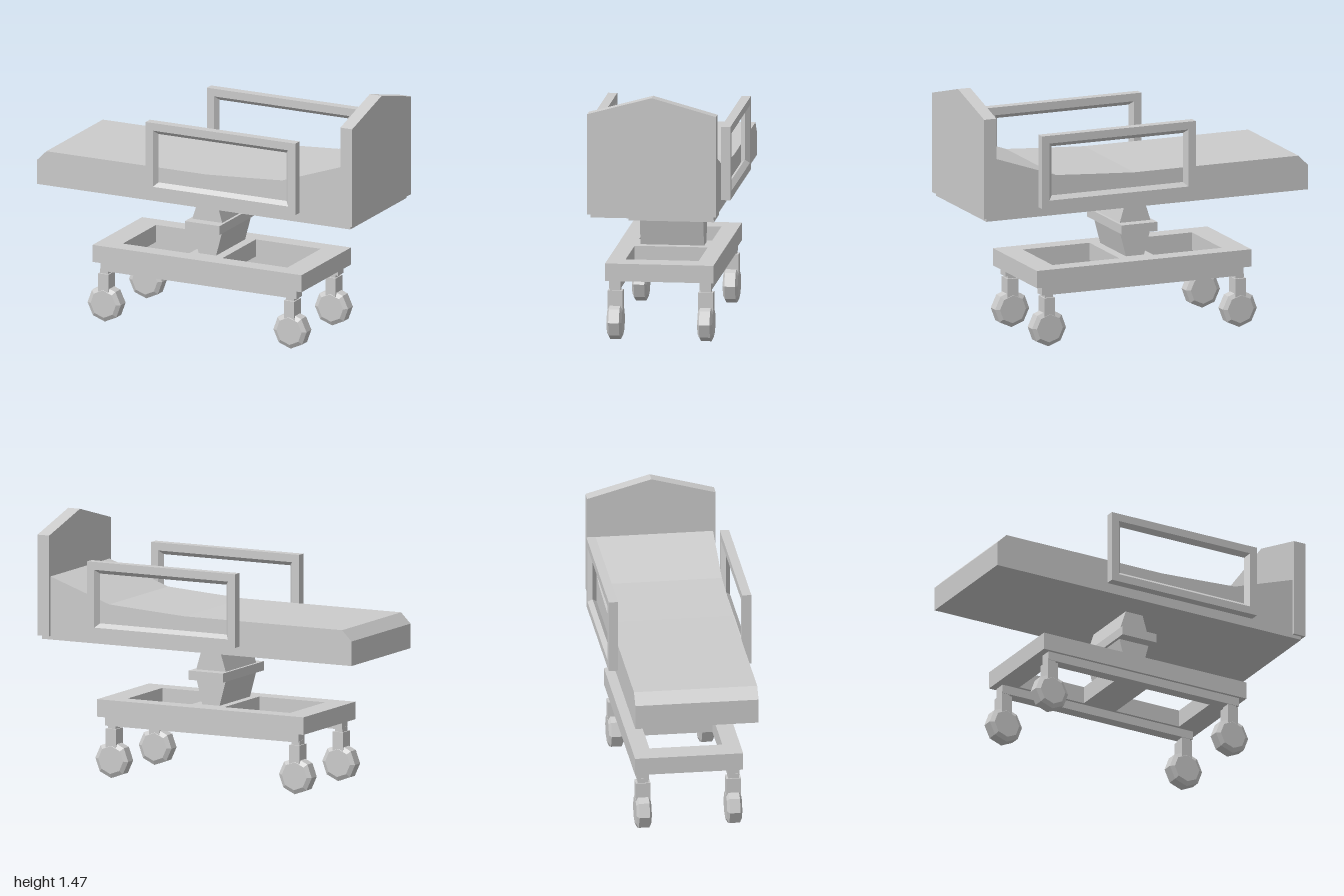
import * as THREE from 'three';

const mat = new THREE.MeshStandardMaterial({ color: 0xcccccc, flatShading: true });

function add(parent, name, geo, x = 0, y = 0, z = 0) {
  const mesh = new THREE.Mesh(geo, mat);
  mesh.name = name;
  mesh.position.set(x, y, z);
  parent.add(mesh);
  return mesh;
}

// Box given by its limits on each axis
function box(parent, name, [x0, x1], [y0, y1], [z0, z1]) {
  return add(parent, name, new THREE.BoxGeometry(x1 - x0, y1 - y0, z1 - z0),
    (x0 + x1) / 2, (y0 + y1) / 2, (z0 + z1) / 2);
}

// Outline in x and y, extruded evenly to both sides of z = 0
function prism(points, depth) {
  const shape = new THREE.Shape(points.map(p => new THREE.Vector2(...p)));
  return new THREE.ExtrudeGeometry(shape, { depth, bevelEnabled: false }).translate(0, 0, -depth / 2);
}

// Rectangular frame: a section of [inset, z] points carried round four mitred corners
function frameGeometry(w, h, section) {
  const pos = [], index = [], n = section.length;
  for (const [sx, sy] of [[-1, -1], [1, -1], [1, 1], [-1, 1]])
    for (const [inset, z] of section) pos.push(sx * (w / 2 - inset), sy * (h / 2 - inset), z);
  for (let c = 0; c < 4; c++) {
    for (let i = 0; i < n; i++) {
      const j = (i + 1) % n, d = (c + 1) % 4;
      const a = c * n + i, b = d * n + i, e = d * n + j, f = c * n + j;
      index.push(a, b, e, a, e, f);
    }
  }
  const geo = new THREE.BufferGeometry();
  geo.setAttribute('position', new THREE.Float32BufferAttribute(pos, 3));
  geo.setIndex(index);
  const flat = geo.toNonIndexed();
  flat.computeVertexNormals();
  return flat;
}

// Wheel with chamfered rims, under a stubby fork
function caster() {
  const g = new THREE.Group();
  g.name = 'caster';
  const profile = [[0, -0.043], [0.08, -0.043], [0.105, -0.03], [0.105, 0.03], [0.08, 0.043], [0, 0.043]]
    .map(p => new THREE.Vector2(...p));
  const wheel = new THREE.LatheGeometry(profile, 8).rotateX(Math.PI / 2).rotateZ(0.04);
  add(g, 'wheel', wheel, 0, 0.108, 0);
  box(g, 'fork', [-0.033, 0.033], [0.145, 0.285], [-0.042, 0.042]);
  box(g, 'stem', [-0.025, 0.025], [0.28, 0.31], [-0.03, 0.03]);
  return g;
}

export function createModel() {
  const bed = new THREE.Group();
  bed.name = 'hospitalBed';

  // Mattress, raised towards the head
  add(bed, 'mattress', prism([[-1, 0.775], [0.98, 0.775], [0.98, 1.15], [0.925, 1.135], [0.55, 1.005],
    [0.32, 0.99], [0.07, 0.975], [-0.94, 0.975], [-1, 0.915]], 0.7));

  // Headboard with a gabled top
  const head = prism([[-0.365, 0.795], [0, 0.81], [0.365, 0.795], [0.365, 1.37], [0, 1.47], [-0.365, 1.37]], 0.075);
  add(bed, 'headboard', head.rotateY(Math.PI / 2), 0.9625, 0, 0);

  // Side rails, their openings narrowing to a ridge
  const railSection = [[0, -0.026], [0, 0.026], [0.045, 0.026], [0.068, 0], [0.045, -0.026]];
  for (const s of [1, -1])
    add(bed, 'sideRail', frameGeometry(0.945, 0.42, railSection), 0.188, 1.04, s * 0.379);

  // Lifting pedestal
  add(bed, 'upperPedestal', prism([[-0.105, 0.62], [0.085, 0.62], [0.085, 0.645], [0.045, 0.78], [-0.062, 0.78], [-0.105, 0.645]], 0.36));
  box(bed, 'pedestalCollar', [-0.12, 0.1], [0.595, 0.647], [-0.243, 0.243]);
  add(bed, 'lowerPedestal', prism([[-0.062, 0.44], [0.043, 0.44], [0.085, 0.597], [-0.105, 0.597]], 0.36));

  // Base frame
  const base = new THREE.Group();
  base.name = 'baseFrame';
  bed.add(base);
  for (const s of [1, -1]) {
    const c = s * 0.257;
    box(base, 'sideBeam', [-0.67, 0.65], [0.35, 0.45], [c - 0.05, c + 0.05]);
    box(base, 'lowerRunner', [-0.63, 0.61], [0.3, 0.35], [c - 0.033, c + 0.033]);
    for (const x of [-0.607, 0.567]) {
      const wheelSet = caster();
      wheelSet.position.set(x, 0, c);
      base.add(wheelSet);
    }
  }
  for (const [x0, x1] of [[-0.67, -0.53], [-0.11, 0.1], [0.51, 0.65]])
    box(base, 'crossBeam', [x0, x1], [0.35, 0.45], [-0.207, 0.207]);

  return bed;
}
